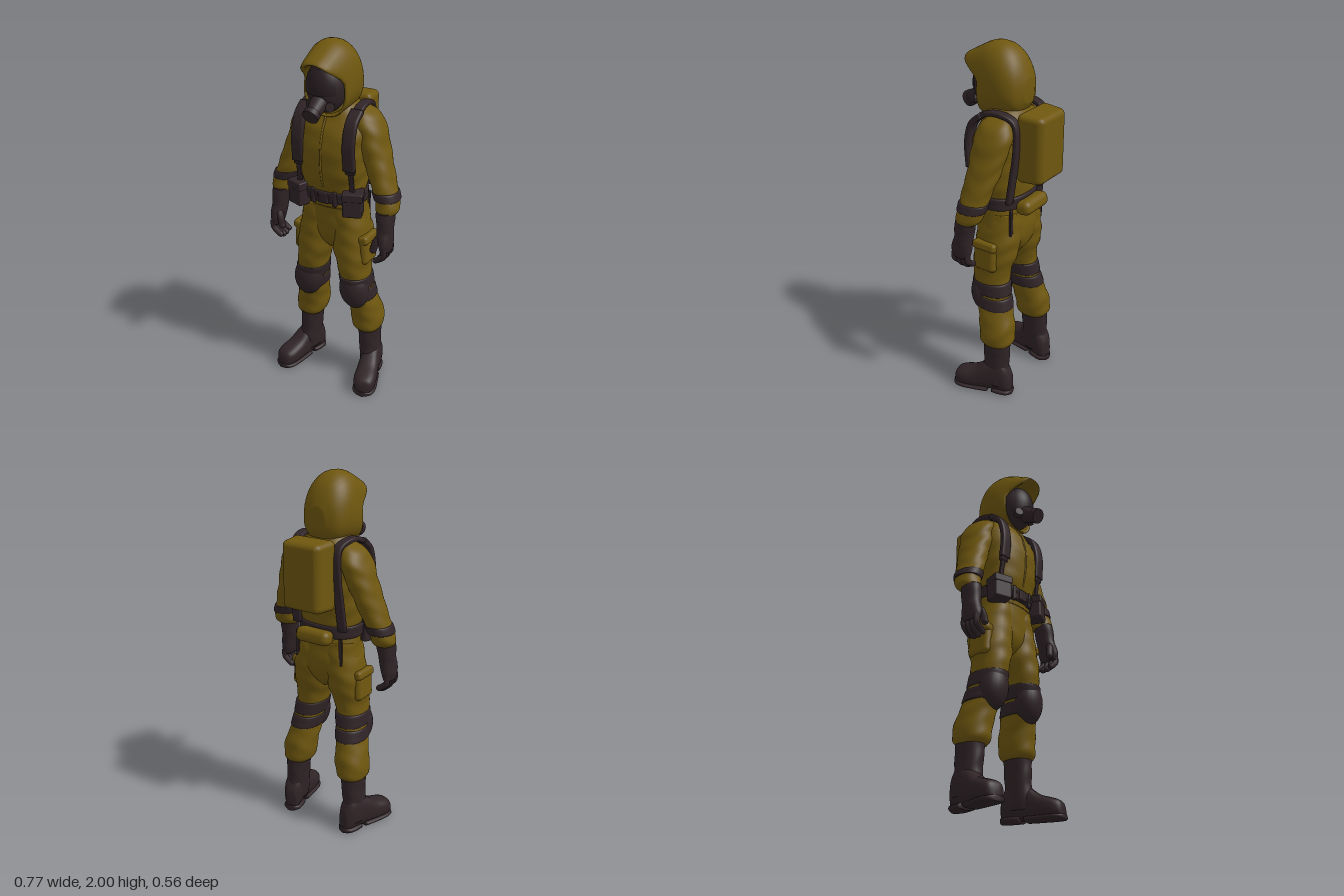
import * as THREE from 'three';
import { RoundedBoxGeometry } from 'three/addons/geometries/RoundedBoxGeometry.js';

const paint = (name, color) => Object.assign(new THREE.MeshStandardMaterial({ color }), { name });
const N = 32;

// Skin a list of closed rings, capping both ends
function loft(rings) {
  const pos = [], idx = [], n = rings[0].length, last = rings.length - 1;
  rings.forEach(r => r.forEach(p => pos.push(p.x, p.y, p.z)));
  for (let i = 0; i < last; i++) for (let j = 0; j < n; j++) {
    const a = i * n + j, b = i * n + (j + 1) % n;
    idx.push(a, a + n, b, b, a + n, b + n);
  }
  [0, last].forEach((k, e) => {
    const c = new THREE.Vector3();
    rings[k].forEach(p => c.addScaledVector(p, 1 / n));
    const ci = pos.length / 3;
    pos.push(c.x, c.y, c.z);
    for (let j = 0; j < n; j++) {
      const a = k * n + j, b = k * n + (j + 1) % n;
      if (e) idx.push(ci, b, a); else idx.push(ci, a, b);
    }
  });
  const g = new THREE.BufferGeometry();
  g.setAttribute('position', new THREE.Float32BufferAttribute(pos, 3));
  g.setIndex(idx);
  g.computeVertexNormals();
  return g;
}

// Superellipse ring: fn receives the angle and the unit coordinates
const ring = (fn, pow) => Array.from({ length: N }, (_, j) => {
  const a = j / N * Math.PI * 2;
  const f = v => Math.sign(v) * Math.abs(v) ** (2 / pow);
  return fn(a, f(Math.cos(a)), f(Math.sin(a)));
});

// Catmull-Rom subdivision of rows of numbers
function dense(rows, k = 6) {
  const out = [], at = i => rows[Math.min(Math.max(i, 0), rows.length - 1)];
  for (let i = 0; i < rows.length - 1; i++) for (let m = 0; m < k; m++) {
    const t = m / k, [a, b, c, d] = [at(i - 1), at(i), at(i + 1), at(i + 2)];
    out.push(b.map((v, q) => 0.5 * (2 * v + (c[q] - a[q]) * t + (2 * a[q] - 5 * v + 4 * c[q] - d[q]) * t * t
      + (3 * v - a[q] - 3 * c[q] + d[q]) * t ** 3)));
  }
  out.push(at(rows.length - 1));
  return out;
}

// Upright body part from rows [y, x, z, rx, rz], with cloth folds
function limb(rows, s = 1, fold = 0, pow = 2.2) {
  return loft(dense(rows).map(([y, x, z, rx, rz]) => ring((a, c, q) => {
    const w = 1 + fold * (0.6 * Math.sin(62 * y + 2 * Math.sin(2 * a + 9 * x)) + 0.4 * Math.sin(3 * a + 37 * y));
    return new THREE.Vector3(s * x + c * rx * w, y, z + q * rz * w);
  }, pow)));
}

// Band that hugs a body part between two heights
function band(rows, y0, y1, grow, s = 1) {
  const d = dense(rows);
  const pick = (y, g) => {
    const i = Math.max(d.findIndex(r => r[0] >= y), 1);
    const t = (y - d[i - 1][0]) / (d[i][0] - d[i - 1][0]);
    const r = d[i].map((v, q) => THREE.MathUtils.lerp(d[i - 1][q], v, t));
    return [y, r[1], r[2], r[3] + g, r[4] + g];
  };
  const h = y1 - y0;
  return limb([pick(y0, 0), pick(y0 + h * 0.08, grow), pick(y0 + h / 2, grow * 1.15), pick(y1 - h * 0.08, grow), pick(y1, 0)], s);
}

// Flat strap swept along a path
function strap(points, half, thick) {
  const curve = new THREE.CatmullRomCurve3(points.map(p => new THREE.Vector3(...p)));
  const X = new THREE.Vector3(1, 0, 0);
  return loft(Array.from({ length: 49 }, (_, i) => {
    const p = curve.getPoint(i / 48), V = X.clone().cross(curve.getTangent(i / 48)).normalize();
    return ring((a, c, q) => p.clone().addScaledVector(X, c * half).addScaledVector(V, q * thick), 4);
  }));
}

// Shoe shape from slices [z, half width, height], toe to heel
const slices = (rows, y0 = 0) => loft(dense(rows, 4).map(([z, rx, h]) =>
  ring((a, c, q) => new THREE.Vector3(c * rx, y0 + h / 2 + q * h / 2, z), 2.6)));

const tube = (pts, r) => new THREE.TubeGeometry(new THREE.CatmullRomCurve3(pts.map(p => new THREE.Vector3(...p))), 10, r, 8);

export function createModel() {
  const root = new THREE.Group();
  root.name = 'hazmatSuitFigure';
  const suit = paint('olive suit', 0x6f570f), dark = paint('dark rubber', 0x302427), visorMat = paint('visor', 0x281e22);
  const add = (name, geo, mat, p = [0, 0, 0], r = [0, 0, 0], parent = root) => {
    const m = new THREE.Mesh(geo, mat);
    m.name = name;
    m.position.set(...p);
    m.rotation.set(...r);
    parent.add(m);
    return m;
  };
  const subgroup = name => {
    const g = new THREE.Group();
    g.name = name;
    root.add(g);
    return g;
  };
  const box = (w, h, d, r = 0.012) => new RoundedBoxGeometry(w, h, d, 4, r);

  // Jacket and trouser seat
  const torso = [[1.12, 0, 0.005, 0.172, 0.12], [1.18, 0, 0.01, 0.17, 0.122], [1.24, 0, 0.015, 0.177, 0.132],
    [1.32, 0, 0.02, 0.188, 0.145], [1.45, 0, 0.02, 0.195, 0.15], [1.55, 0, 0.005, 0.195, 0.142],
    [1.62, 0, -0.01, 0.165, 0.118], [1.67, 0, -0.005, 0.115, 0.1], [1.72, 0, 0, 0.09, 0.085]];
  add('jacket', limb(torso, 1, 0.02, 2.4), suit);
  add('seat', limb([[0.845, 0, -0.005, 0.025, 0.06], [0.89, 0, -0.005, 0.085, 0.1], [0.94, 0, -0.005, 0.15, 0.118],
    [1.0, 0, -0.005, 0.185, 0.125], [1.08, 0, 0, 0.182, 0.122], [1.16, 0, 0.005, 0.172, 0.12]], 1, 0.015), suit);
  add('zipFlap', tube([[0, 1.24, 0.146], [0, 1.32, 0.165], [0, 1.45, 0.169], [0, 1.55, 0.147], [0, 1.63, 0.105]], 0.006), suit);

  // Hood: ovals from the inner rim to the back of the head, the brim leaning forward
  const hoodRows = [[0.06, 1.768, 0.1, 0.128, 0.08], [0.11, 1.766, 0.106, 0.136, 0.118], [0.118, 1.768, 0.122, 0.15, 0.12],
    [0.085, 1.79, 0.13, 0.165, 0.085], [0.04, 1.81, 0.134, 0.184, 0.045], [-0.01, 1.812, 0.134, 0.18, 0.015],
    [-0.055, 1.797, 0.124, 0.158, 0], [-0.095, 1.78, 0.098, 0.118, 0], [-0.122, 1.77, 0.045, 0.06, 0]];
  add('hood', loft(dense(hoodRows, 4).map(([z, cy, rx, ry, lean]) => ring((a, c, q) =>
    new THREE.Vector3(c * rx * (1 - 0.09 * q), cy + q * ry, z + lean * THREE.MathUtils.smoothstep(q, 0.2, 1)), 2.3))), suit);

  // Gas mask
  const mask = subgroup('gasMask');
  add('maskShell', new THREE.SphereGeometry(1, 28, 20), dark, [0, 1.772, 0.098], [0, 0, 0], mask).scale.set(0.104, 0.135, 0.103);
  add('visor', new THREE.SphereGeometry(1, 24, 12, Math.PI / 2 - 0.95, 1.9, 0.75, 1.0), visorMat, [0, 1.772, 0.1], [0, 0, 0], mask)
    .scale.set(0.107, 0.138, 0.106);
  const snoutTilt = [Math.PI / 2 + 0.5, 0, 0];
  add('snout', new THREE.CylinderGeometry(0.036, 0.05, 0.09, 20), dark, [0, 1.69, 0.2], snoutTilt, mask);
  add('filter', new THREE.CylinderGeometry(0.043, 0.043, 0.03, 20), dark, [0, 1.664, 0.25], snoutTilt, mask);
  for (const s of [1, -1])
    add('cheekValve', new THREE.CylinderGeometry(0.024, 0.024, 0.03, 16), dark, [s * 0.055, 1.69, 0.165], [1.4, 0, -s * 0.6], mask);

  // Backpack, wider at the wearer's back and bulging outward
  const pack = box(0.244, 0.36, 0.14, 0.028), pp = pack.attributes.position;
  for (let i = 0; i < pp.count; i++) {
    const x = pp.getX(i), y = pp.getY(i), z = pp.getZ(i);
    pp.setXYZ(i, x * (1 + 0.8 * z), y * (1 + 0.4 * z), z - (z < 0 ? 0.018 * (1 - (x / 0.122) ** 2) : 0));
  }
  pack.computeVertexNormals();
  add('backpack', pack, suit, [0, 1.5, -0.195]);

  // Belt
  add('belt', band(torso, 1.145, 1.215, 0.012), dark);
  add('buckle', box(0.06, 0.06, 0.018, 0.006), dark, [0, 1.18, 0.145]);
  add('rearPouch', box(0.21, 0.08, 0.09, 0.034), suit, [0, 1.158, -0.146], [0.2, 0, 0]);

  const arm = [[1.12, 0.32, 0.045, 0.045, 0.052], [1.145, 0.322, 0.03, 0.061, 0.068], [1.19, 0.316, 0.018, 0.061, 0.073],
    [1.27, 0.286, 0.008, 0.064, 0.08], [1.38, 0.245, -0.01, 0.069, 0.09], [1.48, 0.21, -0.022, 0.071, 0.1],
    [1.56, 0.185, -0.03, 0.07, 0.104], [1.62, 0.16, -0.03, 0.056, 0.087], [1.655, 0.135, -0.03, 0.025, 0.05]];
  const leg = [[0.325, 0.188, -0.045, 0.068, 0.08], [0.36, 0.186, -0.045, 0.088, 0.1], [0.45, 0.176, -0.04, 0.088, 0.103],
    [0.55, 0.157, -0.012, 0.078, 0.102], [0.65, 0.143, 0.014, 0.078, 0.104], [0.75, 0.13, 0.025, 0.087, 0.106],
    [0.85, 0.115, 0.012, 0.104, 0.12], [0.95, 0.105, 0, 0.102, 0.124], [1.05, 0.09, 0, 0.095, 0.12], [1.12, 0.085, 0, 0.088, 0.115]];
  const shaft = [[0.06, 0.21, -0.05, 0.054, 0.078], [0.12, 0.207, -0.047, 0.057, 0.08], [0.2, 0.2, -0.05, 0.057, 0.077],
    [0.3, 0.195, -0.05, 0.061, 0.08], [0.345, 0.193, -0.05, 0.063, 0.08]];

  for (const s of [1, -1]) {
    // Sleeve and arm band
    add('sleeve', limb(arm, s, 0.04), suit);
    add('armBand', band(arm, 1.195, 1.24, 0.006, s), dark);

    // Glove
    const glove = subgroup('glove'), o = [0, 0, 0];
    add('gauntlet', limb([[0.92, 0.341, 0.07, 0.024, 0.05], [0.96, 0.338, 0.07, 0.034, 0.06], [1.0, 0.333, 0.067, 0.039, 0.059],
      [1.04, 0.328, 0.06, 0.042, 0.054], [1.1, 0.324, 0.055, 0.047, 0.057], [1.14, 0.32, 0.048, 0.049, 0.057]], s, 0.03), dark, o, o, glove);
    for (let i = 0; i < 4; i++) {
      const z = 0.028 + i * 0.028, drop = [0.012, 0, 0, 0.01][i];
      add('finger', tube([[s * 0.347, 0.95, z], [s * 0.345, 0.905, z], [s * 0.325, 0.875 + drop, z], [s * 0.3, 0.858 + drop, z]], 0.0165), dark, o, o, glove);
      add('fingertip', new THREE.SphereGeometry(0.0165, 10, 8), dark, [s * 0.3, 0.858 + drop, z], o, glove);
    }
    add('thumb', tube([[s * 0.322, 1.015, 0.088], [s * 0.3, 0.98, 0.108], [s * 0.286, 0.93, 0.115]], 0.02), dark, o, o, glove);
    add('thumbTip', new THREE.SphereGeometry(0.02, 10, 8), dark, [s * 0.286, 0.93, 0.115], o, glove);

    // Harness: padded over the shoulder, narrow webbing down to the belt
    add('shoulderStrap', strap([[s * 0.155, 1.34, 0.133], [s * 0.153, 1.5, 0.14], [s * 0.153, 1.6, 0.112], [s * 0.152, 1.662, 0.035],
      [s * 0.147, 1.672, -0.05], [s * 0.132, 1.635, -0.125], [s * 0.135, 1.5, -0.137], [s * 0.142, 1.35, -0.12], [s * 0.148, 1.2, -0.1]], 0.026, 0.013), dark);
    add('strapPad', strap([[s * 0.152, 1.36, 0.139], [s * 0.15, 1.5, 0.146], [s * 0.15, 1.6, 0.117], [s * 0.15, 1.655, 0.055]], 0.034, 0.016), dark);
    add('strapWebbing', strap([[s * 0.16, 1.2, 0.112], [s * 0.158, 1.28, 0.122], [s * 0.155, 1.36, 0.135]], 0.013, 0.008), dark);

    // Belt gear
    add('beltPouch', box(0.105, 0.135, 0.1), dark, [s * 0.16, 1.17, 0.108], [0, s * 0.35, 0]);
    add('pouchFlap', box(0.109, 0.045, 0.104, 0.008), dark, [s * 0.16, 1.216, 0.109], [0, s * 0.35, 0]);
    add('beltLoop', box(0.025, 0.085, 0.025, 0.006), dark, [s * 0.065, 1.18, 0.135], [0, s * 0.15, 0]);
    add('hangingStrap', box(0.022, 0.15, 0.012, 0.004), dark, [s * 0.14, 1.08, -0.107]);

    // Trouser leg, cargo pocket and knee guard
    add('trouserLeg', limb(leg, s, 0.035), suit);
    add('cargoPocket', box(0.06, 0.17, 0.14, 0.028), suit, [s * 0.198, 0.875, 0.015], [0, 0, s * 0.06]);
    add('pocketFlap', box(0.06, 0.05, 0.146, 0.018), suit, [s * 0.203, 0.94, 0.015], [0, 0, s * 0.2]);
    add('kneePad', new THREE.SphereGeometry(1, 24, 18), dark, [s * 0.148, 0.615, 0.062], [0.12, 0, s * 0.1]).scale.set(0.086, 0.118, 0.074);
    add('kneeStrapUpper', band(leg, 0.63, 0.705, 0.007, s), dark);
    add('kneeStrapLower', band(leg, 0.55, 0.618, 0.007, s), dark);

    // Boot
    add('bootShaft', limb(shaft, s, 0.025), dark);
    const foot = subgroup('bootFoot');
    foot.position.set(s * 0.213, 0, -0.05);
    foot.rotation.y = s * 0.25;
    add('bootUpper', slices([[0.249, 0.012, 0.04], [0.243, 0.034, 0.07], [0.226, 0.053, 0.092], [0.185, 0.064, 0.108], [0.12, 0.062, 0.13],
      [0.05, 0.056, 0.18], [-0.03, 0.054, 0.21], [-0.07, 0.05, 0.18], [-0.098, 0.03, 0.12]], 0.01), dark, o, o, foot);
    add('sole', slices([[0.255, 0.014, 0.03], [0.248, 0.038, 0.03], [0.23, 0.057, 0.03], [0.185, 0.068, 0.03], [0.09, 0.061, 0.03], [0.04, 0.054, 0.03]]), dark, o, o, foot);
    add('heel', slices([[0.01, 0.05, 0.035], [-0.03, 0.056, 0.035], [-0.08, 0.05, 0.035], [-0.104, 0.025, 0.035]]), dark, o, o, foot);
  }
  return root;
}
